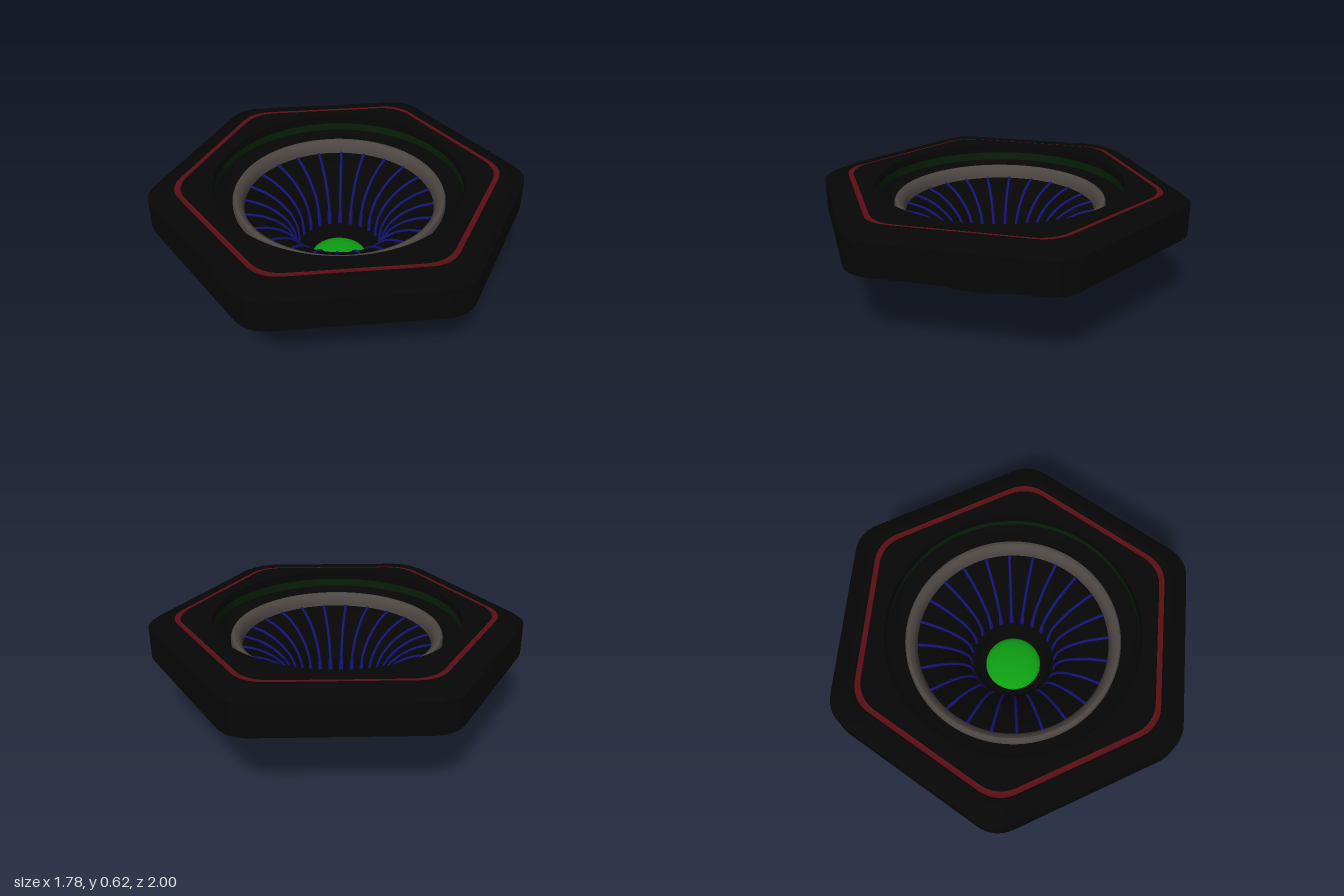
import * as THREE from 'three';
import { toCreasedNormals } from 'three/addons/utils/BufferGeometryUtils.js';

const paint = (color) => new THREE.MeshStandardMaterial({ color, side: THREE.DoubleSide });
const black = paint(0x060606);
const darkGreen = paint(0x072008);
const brightGreen = paint(0x0ea014);
const red = paint(0x5a0e14);
const steel = paint(0x4c4642);
const blue = paint(0x15137a);
const violet = paint(0x77729c);

// Radius of a rounded hexagon with corners on the z axis
function hexRadius(apothem, angle) {
  const corner = 0.18;
  const sector = Math.PI / 3;
  const u = Math.abs(angle - Math.round(angle / sector) * sector); // angle from nearest corner
  const t = Math.PI / 6 - u;
  if (Math.tan(t) * apothem <= (apothem - corner) * Math.tan(Math.PI / 6)) return apothem / Math.cos(t);
  const d = (apothem - corner) / Math.cos(Math.PI / 6);
  return d * Math.cos(u) + Math.sqrt(corner * corner - (d * Math.sin(u)) ** 2);
}

function named(name, geometry, material) {
  const mesh = new THREE.Mesh(geometry, material);
  mesh.name = name;
  return mesh;
}

const vectors = (profile) => profile.map(([r, y]) => new THREE.Vector2(r, y));

function lathe(name, profile, material, start = 0, length = Math.PI * 2) {
  const segments = Math.max(6, Math.round(96 * length / (Math.PI * 2)));
  const geometry = new THREE.LatheGeometry(vectors(profile), segments, start, length);
  return named(name, toCreasedNormals(geometry, 0.6), material);
}

// Lathe whose profile entries [size, y, true] follow the hexagon instead of a circle
function hexLathe(name, profile, material) {
  const segments = 180;
  const geometry = new THREE.LatheGeometry(vectors(profile), segments);
  const position = geometry.attributes.position;
  for (let i = 0; i <= segments; i++) {
    const angle = i / segments * Math.PI * 2;
    profile.forEach(([size, y, hex], j) => {
      const r = hex ? hexRadius(size, angle) : size;
      position.setXYZ(i * profile.length + j, r * Math.sin(angle), y, r * Math.cos(angle));
    });
  }
  return named(name, toCreasedNormals(geometry, 0.4), material);
}

function strand(name, points, radius, material) {
  const curve = new THREE.CatmullRomCurve3(points.map(([r, y]) => new THREE.Vector3(r, y, 0)));
  return named(name, new THREE.TubeGeometry(curve, 16, radius, 6), material);
}

export function createModel() {
  const model = new THREE.Group();
  model.name = 'hexagonalLamp';

  // Hexagonal cover, hollow below, with a bevelled top edge, a groove and a round hole
  model.add(hexLathe('hexCover', [
    [0.66, 0.575], [0.8, 0.575, true], [0.87, 0.55, true], [0.875, 0.4, true],
    [0.89, 0.4, true], [0.89, 0.57, true], [0.87, 0.585, true],
    [0.8, 0.62, true], [0.775, 0.62, true], [0.765, 0.606, true], [0.745, 0.606, true],
    [0.735, 0.62, true], [0.66, 0.62], [0.66, 0.575],
  ], black));

  // Red inlay in the groove, and a matching line inside the cover
  model.add(hexLathe('topInlay', [
    [0.773, 0.613, true], [0.765, 0.61, true], [0.745, 0.61, true], [0.737, 0.613, true],
  ], red));
  model.add(hexLathe('bottomInlay', [
    [0.74, 0.58, true], [0.745, 0.572, true], [0.765, 0.572, true], [0.77, 0.58, true],
  ], red));

  // Green bowl rising into the cover, with a dark opening below
  const shoulder = [[0.695, 0.302], [0.718, 0.315], [0.73, 0.345], [0.738, 0.41]];
  model.add(lathe('bowl', [
    [0.465, 0.2], [0.53, 0.2], [0.57, 0.225], [0.6, 0.255], [0.645, 0.285], ...shoulder,
    [0.735, 0.48], [0.715, 0.54], [0.68, 0.575],
  ], darkGreen));
  model.add(lathe('bowlOpening', [[0.51, 0.46], [0.5, 0.36], [0.475, 0.23], [0.465, 0.2]], black));
  model.add(lathe('innerWall', [[0.662, 0.58], [0.665, 0.52]], darkGreen));
  model.add(lathe('innerLedge', [[0.665, 0.53], [0.64, 0.51], [0.6, 0.5], [0.51, 0.475]], black));

  // Red lights around the shoulder
  for (let i = 0; i < 6; i++) {
    model.add(lathe('shoulderLight', shoulder.map(([r, y]) => [r + 0.003, y]), red,
      Math.PI / 6 + i * Math.PI / 3 - 0.095, 0.19));
  }

  // Steel ring around the funnel mouth, sloping down to the ribs
  model.add(lathe('steelRing', [
    [0.567, 0.485], [0.567, 0.515], [0.56, 0.527], [0.545, 0.53], [0.53, 0.522],
    [0.517, 0.505], [0.51, 0.485], [0.507, 0.46],
  ], steel));

  // Bell-shaped funnel
  const bell = [[0.235, 0.13], [0.238, 0.2], [0.25, 0.26], [0.285, 0.33], [0.35, 0.395], [0.43, 0.44], [0.51, 0.463]];
  model.add(lathe('funnel', bell, black));

  // Ribs: thin inside the funnel, broad at the neck, with a strand fanning out below
  for (let i = 0; i < 24; i++) {
    const rib = new THREE.Group();
    rib.name = 'rib';
    rib.add(strand('innerRib', bell, 0.008, blue));
    rib.add(strand('neckRib', [[0.243, 0.13], [0.246, 0.2], [0.265, 0.25], [0.308, 0.31], [0.375, 0.365]], 0.016, blue));
    rib.add(strand('lowerRib',
      [[0.258, 0.215], [0.29, 0.255], [0.36, 0.285], [0.43, 0.305], [0.49, 0.35]], 0.01, violet));
    rib.rotation.y = (i + 0.5) / 24 * Math.PI * 2;
    model.add(rib);
  }

  // Hub: sloping dark flange over a steel underside, then the lower collar
  model.add(lathe('hubFlange', [
    [0.305, 0.115], [0.298, 0.128], [0.255, 0.148], [0.22, 0.15], [0.19, 0.1], [0.1, 0.09],
  ], black));
  model.add(lathe('hubUnderside', [[0.2, 0.085], [0.25, 0.088], [0.29, 0.098], [0.303, 0.107], [0.305, 0.115]], steel));
  const collar = named('hubCollar', new THREE.TorusGeometry(0.24, 0.013, 14, 96), steel);
  collar.rotation.x = Math.PI / 2;
  collar.position.y = 0.073;
  model.add(collar);
  model.add(lathe('hubBase', [[0.1, 0.065], [0.235, 0.062], [0.235, 0.09]], black));

  // Glowing lens in the hub
  const lens = named('lens', new THREE.SphereGeometry(0.16, 48, 24), brightGreen);
  lens.scale.y = 0.4;
  lens.position.y = 0.064;
  model.add(lens);
  const topLens = named('topLens', new THREE.SphereGeometry(0.155, 48, 16, 0, Math.PI * 2, 0, Math.PI / 2), brightGreen);
  topLens.scale.y = 0.25;
  topLens.position.y = 0.095;
  model.add(topLens);

  return model;
}
